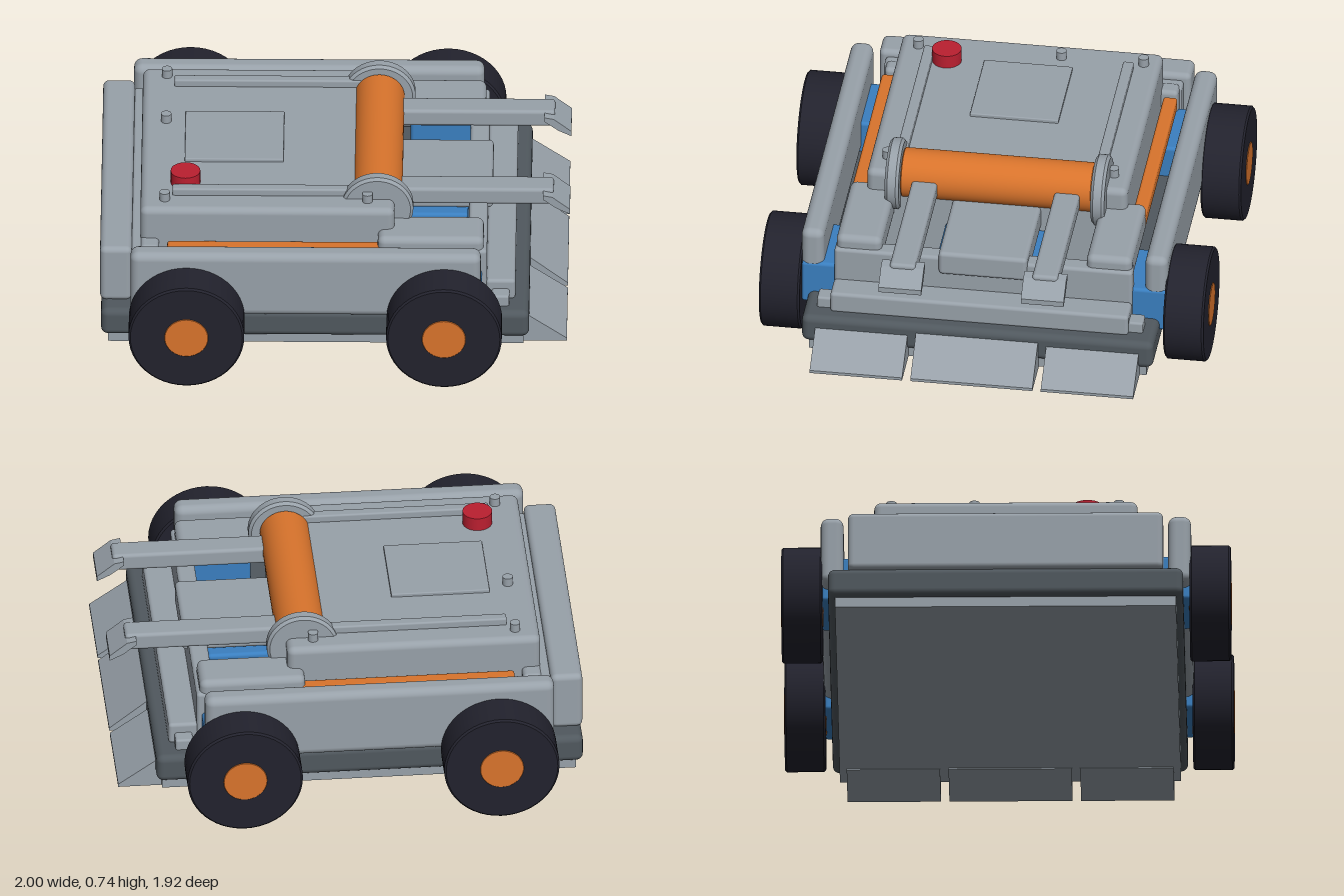
import * as THREE from 'three';
import { RoundedBoxGeometry } from 'three/addons/geometries/RoundedBoxGeometry.js';

const paint = (name, color) => {
  const m = new THREE.MeshStandardMaterial({ color });
  m.name = name;
  return m;
};

export function createModel() {
  const grey = paint('armour grey', 0x98a1a9);
  const dark = paint('chassis grey', 0x50585e);
  const black = paint('tyre black', 0x22222d);
  const orange = paint('orange', 0xd9742c);
  const blue = paint('motor blue', 0x3a7fc0);
  const red = paint('button red', 0xbb1f30);

  const model = new THREE.Group();
  model.name = 'wheeledRobot';

  const add = (name, geometry, material, x = 0, y = 0, z = 0) => {
    const mesh = new THREE.Mesh(geometry, material);
    mesh.name = name;
    mesh.position.set(x, y, z);
    model.add(mesh);
    return mesh;
  };
  // Box given by its limits on each axis; r rounds the edges
  const box = (name, material, [x0, x1], [y0, y1], [z0, z1], r = 0) => {
    const size = [x1 - x0, y1 - y0, z1 - z0];
    const geometry = r ? new RoundedBoxGeometry(...size, 3, r) : new THREE.BoxGeometry(...size);
    return add(name, geometry, material, (x0 + x1) / 2, (y0 + y1) / 2, (z0 + z1) / 2);
  };
  // The same box on both sides of the model
  const boxPair = (name, material, x, y, [z0, z1], r) => {
    box(name + 'Front', material, x, y, [z0, z1], r);
    box(name + 'Back', material, x, y, [-z1, -z0], r);
  };
  // Solid of revolution about z, with slightly bevelled rims
  const disc = (name, material, radius, width, bevel, x, y, z) => {
    const h = width / 2;
    const profile = [[0, -h], [radius - bevel, -h], [radius - bevel, -h], [radius, bevel - h], [radius, bevel - h],
      [radius, h - bevel], [radius, h - bevel], [radius - bevel, h], [radius - bevel, h], [0, h]];
    const geometry = new THREE.LatheGeometry(profile.map(p => new THREE.Vector2(...p)), 48);
    return add(name, geometry.rotateX(Math.PI / 2), material, x, y, z);
  };
  // Side profile in x, y swept from z0 to z1
  const prism = (name, material, points, z0, z1) => {
    const shape = new THREE.Shape(points.map(p => new THREE.Vector2(...p)));
    return add(name, new THREE.ExtrudeGeometry(shape, { depth: z1 - z0, bevelEnabled: false }), material, 0, 0, z0);
  };

  // Floor and chassis
  box('floorPlate', grey, [-0.965, 0.8], [0.085, 0.14], [-0.725, 0.725]);
  box('chassis', dark, [-0.995, 0.825], [0.13, 0.257], [-0.755, 0.755], 0.03);

  // Body and armour
  box('lid', grey, [-0.83, 0.25], [0.25, 0.645], [-0.56, 0.56], 0.03);
  box('rearBumper', grey, [-1, -0.865], [0.25, 0.515], [-0.67, 0.67], 0.025);
  box('rearWall', grey, [-0.87, -0.8], [0.25, 0.49], [-0.64, 0.64], 0.015);
  boxPair('rearPost', grey, [-0.83, -0.75], [0.25, 0.5], [0.5, 0.63], 0.02);
  boxPair('sideArmour', grey, [-0.87, 0.62], [0.25, 0.557], [0.69, 0.787], 0.035);
  boxPair('sideTube', orange, [-0.715, 0.22], [0.44, 0.5], [0.575, 0.635], 0.012);
  boxPair('shoulderBlock', grey, [0.18, 0.63], [0.42, 0.55], [0.44, 0.635], 0.03);
  box('noseBlock', grey, [0.22, 0.665], [0.42, 0.53], [-0.19, 0.19], 0.018);
  box('noseMotor', blue, [0.24, 0.56], [0.25, 0.41], [-0.22, 0.22], 0.015);
  box('frontWall', grey, [0.565, 0.645], [0.25, 0.495], [-0.64, 0.64], 0.015);
  box('frontStep', grey, [0.64, 0.765], [0.25, 0.347], [-0.64, 0.64], 0.015);
  boxPair('frontTab', grey, [0.665, 0.74], [0.24, 0.305], [0.62, 0.7], 0.01);

  // Ramp in three plates
  [[-0.695, -0.298], [-0.262, 0.262], [0.298, 0.695]].forEach(([z0, z1], i) => {
    const top = i === 1 ? 0.22 : 0.205;
    prism('rampPlate' + (i + 1), grey, [[0.66, 0.08], [0.985, 0.08], [0.985, 0.093], [0.825, top], [0.805, top], [0.78, 0.12], [0.66, 0.1]], z0, z1);
  });

  // Wheels, hubs and motors
  for (const x of [-0.63, 0.465]) {
    for (const s of [1, -1]) {
      const group = x < 0 ? 'left' : 'right';
      const side = group === 'left' ? 'rear' : 'front';
      const end = s > 0 ? 'Right' : 'Left';
      disc(side + end + 'Tyre', black, 0.246, 0.174, 0.008, x, 0.25, s * 0.868);
      disc(side + end + 'Hub', orange, 0.093, 0.18, 0.002, x, 0.25, s * 0.868);
      const [z0, z1] = s > 0 ? [0.57, 0.785] : [-0.785, -0.57];
      box(side + end + 'Motor', blue, [x - 0.158, x + 0.158], [0.2, 0.4], [z0, z1], 0.015);
    }
  }

  // Drum, its end plates and the lifting arms
  disc('drum', orange, 0.106, 0.82, 0.004, 0.177, 0.604, 0);
  for (const s of [1, -1]) {
    const end = s > 0 ? 'Right' : 'Left';
    disc('drumPlate' + end, grey, 0.153, 0.06, 0.012, 0.177, 0.594, s * 0.442);
    const z = s * 0.306;
    box('arm' + end, grey, [0.24, 0.925], [0.55, 0.628], [z - 0.055, z + 0.055], 0.015);
    prism('armTip' + end, grey,
      [[0.88, 0.6], [0.94, 0.555], [0.995, 0.528], [0.995, 0.552], [0.92, 0.612], [0.88, 0.62]], z - 0.092, z + 0.092);
  }

  // Fittings on the lid
  box('hatch', grey, [-0.645, -0.225], [0.64, 0.66], [-0.195, 0.185], 0.005);
  boxPair('lidRail', grey, [-0.695, 0.1], [0.64, 0.677], [0.405, 0.45], 0.008);
  [[-0.727, 0.48], [-0.727, -0.488], [-0.727, -0.135], [0.135, 0.485], [0.135, -0.488]].forEach(([x, z], i) => {
    add('bolt' + (i + 1), new THREE.CylinderGeometry(0.022, 0.022, 0.045, 20), grey, x, 0.66, z);
  });
  add('stopButton', new THREE.CylinderGeometry(0.063, 0.063, 0.065, 32), red, -0.64, 0.672, 0.345);

  return model;
}
